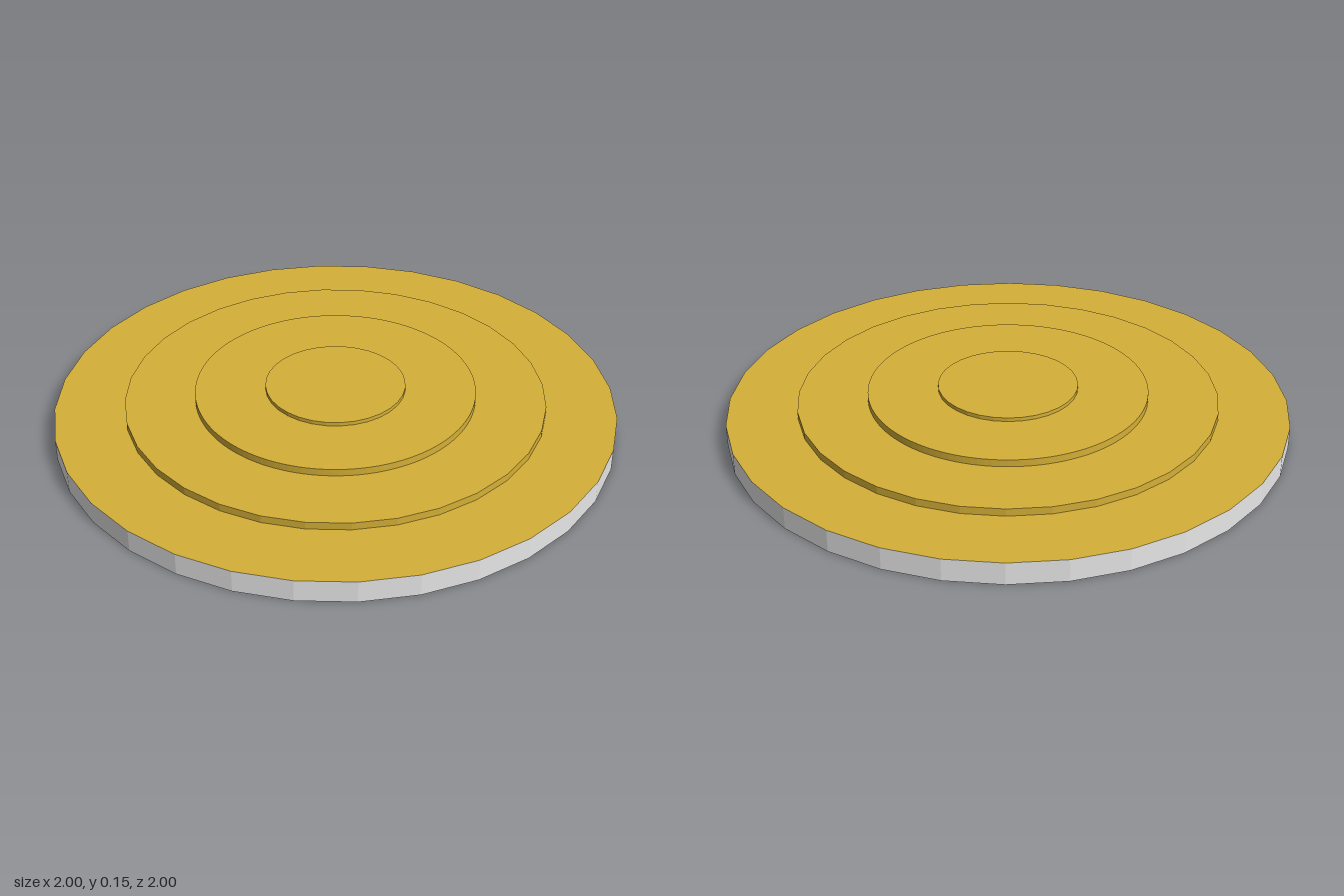
import * as THREE from 'three';

export function createModel() {
  const group = new THREE.Group();
  const mat = (name, color, flatShading) => {
    const m = new THREE.MeshStandardMaterial({ color, flatShading });
    m.name = name;
    return m;
  };
  const gold = mat('gold', 0xd4af37, true);
  const white = mat('white', 0xffffff, true);

  // Stacked discs: name, radius, bottom, top, sides, rim material
  const tiers = [
    ['baseDisc', 1, 0, 0.08, 32, white],
    ['lowerTier', 0.75, 0.08, 0.107, 32, gold],
    ['middleTier', 0.5, 0.107, 0.133, 128, gold],
    ['topTier', 0.25, 0.133, 0.147, 32, gold],
  ];
  for (const [name, radius, y0, y1, sides, rim] of tiers) {
    const geometry = new THREE.CylinderGeometry(radius, radius, y1 - y0, sides);
    const mesh = new THREE.Mesh(geometry, [rim, gold, gold]); // rim, top, bottom
    mesh.name = name;
    mesh.position.y = (y0 + y1) / 2;
    group.add(mesh);
  }
  return group;
}
